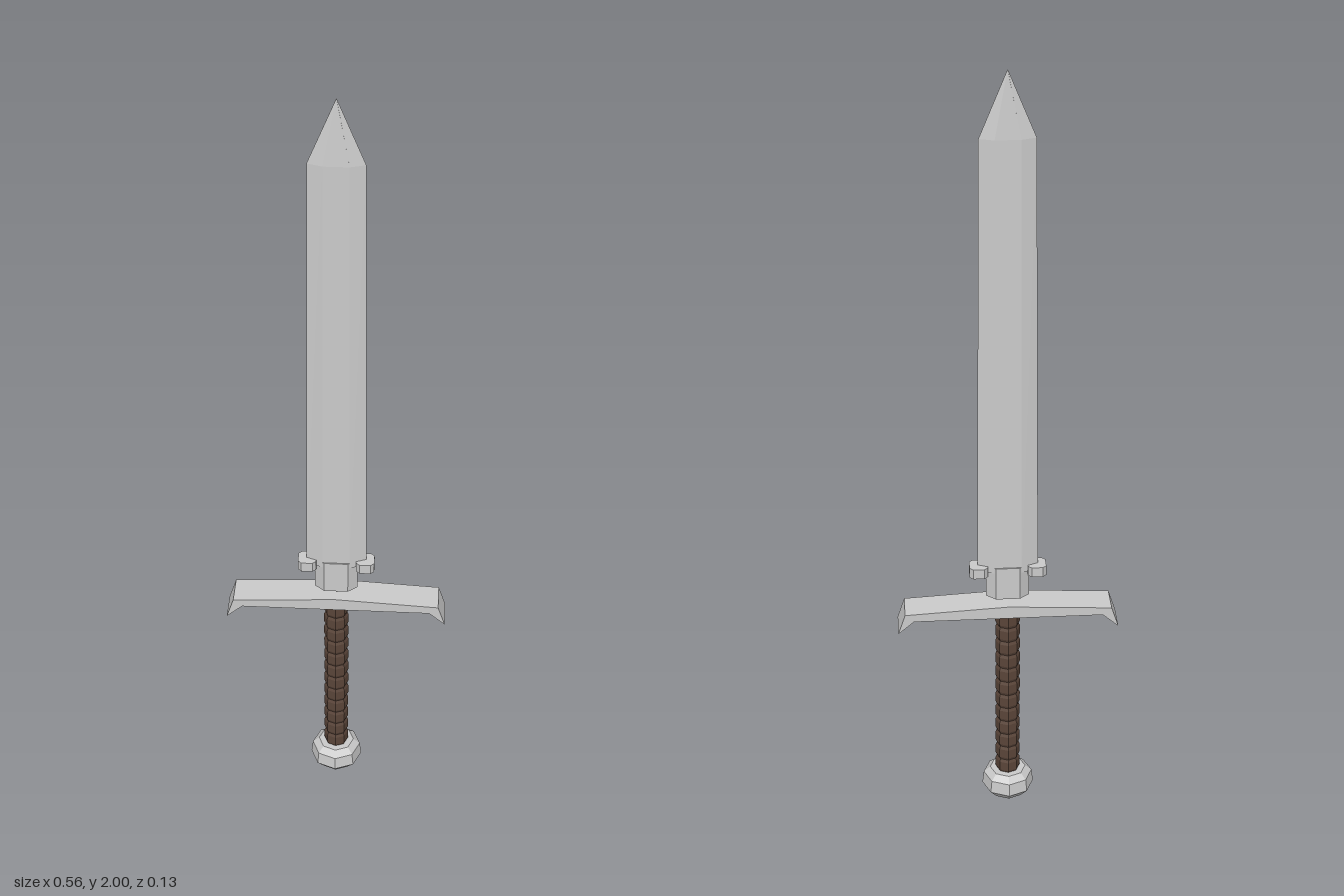
import * as THREE from 'three';

// Skin a stack of horizontal cross-sections; each has a height and a counter-clockwise outline [x, z]
function loft(sections) {
  const pos = [];
  const tri = (...pts) => pts.forEach(p => pos.push(...p));
  const rings = sections.map(s => s.outline.map(([x, z]) => [x, s.y, z]));
  const n = rings[0].length;
  for (let k = 0; k < rings.length - 1; k++) {
    for (let i = 0; i < n; i++) {
      const j = (i + 1) % n, lo = rings[k], hi = rings[k + 1];
      tri(lo[i], lo[j], hi[j]);
      tri(lo[i], hi[j], hi[i]);
    }
  }
  const first = rings[0], last = rings[rings.length - 1];
  for (let i = 1; i < n - 1; i++) {
    tri(first[0], first[i + 1], first[i]);
    tri(last[0], last[i], last[i + 1]);
  }
  const g = new THREE.BufferGeometry();
  g.setAttribute('position', new THREE.Float32BufferAttribute(pos, 3));
  g.computeVertexNormals();
  return g;
}

// Six-sided blade section: sharp edges at +-w, flats of half width f at depth +-d
const hexSection = (y, w, f, d) => ({
  y, outline: [[w, 0], [f, -d], [-f, -d], [-w, 0], [-f, d], [f, d]],
});

// Rectangle with cut corners
const cutRect = (y, cx, w, d, c) => ({
  y, outline: [[w, d - c], [w, c - d], [w - c, -d], [c - w, -d],
    [-w, c - d], [-w, d - c], [c - w, d], [w - c, d]].map(([x, z]) => [x + cx, z]),
});

export function createModel() {
  const group = new THREE.Group();
  const steel = new THREE.MeshStandardMaterial({ color: 0xcacaca, flatShading: true });
  steel.name = 'steel';
  const leather = new THREE.MeshStandardMaterial({ color: 0x5a4539, flatShading: true });
  leather.name = 'brown leather';

  const add = (name, geometry, material) => {
    const mesh = new THREE.Mesh(geometry, material);
    mesh.name = name;
    group.add(mesh);
    return mesh;
  };

  // Blade tapering to a point
  add('blade', loft([
    hexSection(0.7, 0.076, 0.034, 0.017),
    hexSection(1.84, 0.066, 0.03, 0.012),
    hexSection(2.0, 0.0005, 0.0003, 0.0003),
  ]), steel);

  // Narrow neck below the blade
  add('bladeNeck', loft([
    hexSection(0.625, 0.054, 0.03, 0.02),
    hexSection(0.715, 0.054, 0.03, 0.02),
  ]), steel);

  // Small lugs on both sides of the blade root
  for (const side of [1, -1]) {
    add(side > 0 ? 'leftLug' : 'rightLug', loft([
      cutRect(0.69, side * 0.073, 0.023, 0.024, 0.009),
      cutRect(0.717, side * 0.073, 0.023, 0.024, 0.009),
    ]), steel);
  }

  // Crossguard with down-turned ends
  const half = [[0.26, 0.6], [0.278, 0.545], [0.238, 0.58]];
  const outline = [[0, 0.614], ...half, ...half.map(([x, y]) => [-x, y]).reverse()];
  const guard = new THREE.ExtrudeGeometry(
    new THREE.Shape(outline.map(([x, y]) => new THREE.Vector2(x, y))),
    { depth: 0.08, bevelEnabled: false });
  guard.translate(0, 0, -0.04);
  add('crossguard', guard, steel);

  // Eight-sided grip with wrapped ridges
  const gripProfile = [];
  const wraps = 12, bottom = 0.085, step = (0.581 - bottom) / wraps;
  for (let i = 0; i < wraps; i++) {
    const y = bottom + i * step;
    gripProfile.push(new THREE.Vector2(0.028, y),
      new THREE.Vector2(0.0315, y + step * 0.2),
      new THREE.Vector2(0.0315, y + step * 0.8));
  }
  gripProfile.push(new THREE.Vector2(0.028, 0.581));
  add('grip', new THREE.LatheGeometry(gripProfile, 8), leather);

  // Eight-sided faceted pommel
  const pommelProfile = [[0, 0], [0.018, 0], [0.045, 0.013], [0.067, 0.038],
    [0.063, 0.072], [0.046, 0.087], [0, 0.087]];
  add('pommel', new THREE.LatheGeometry(
    pommelProfile.map(([r, y]) => new THREE.Vector2(r, y)), 8), steel);

  return group;
}
